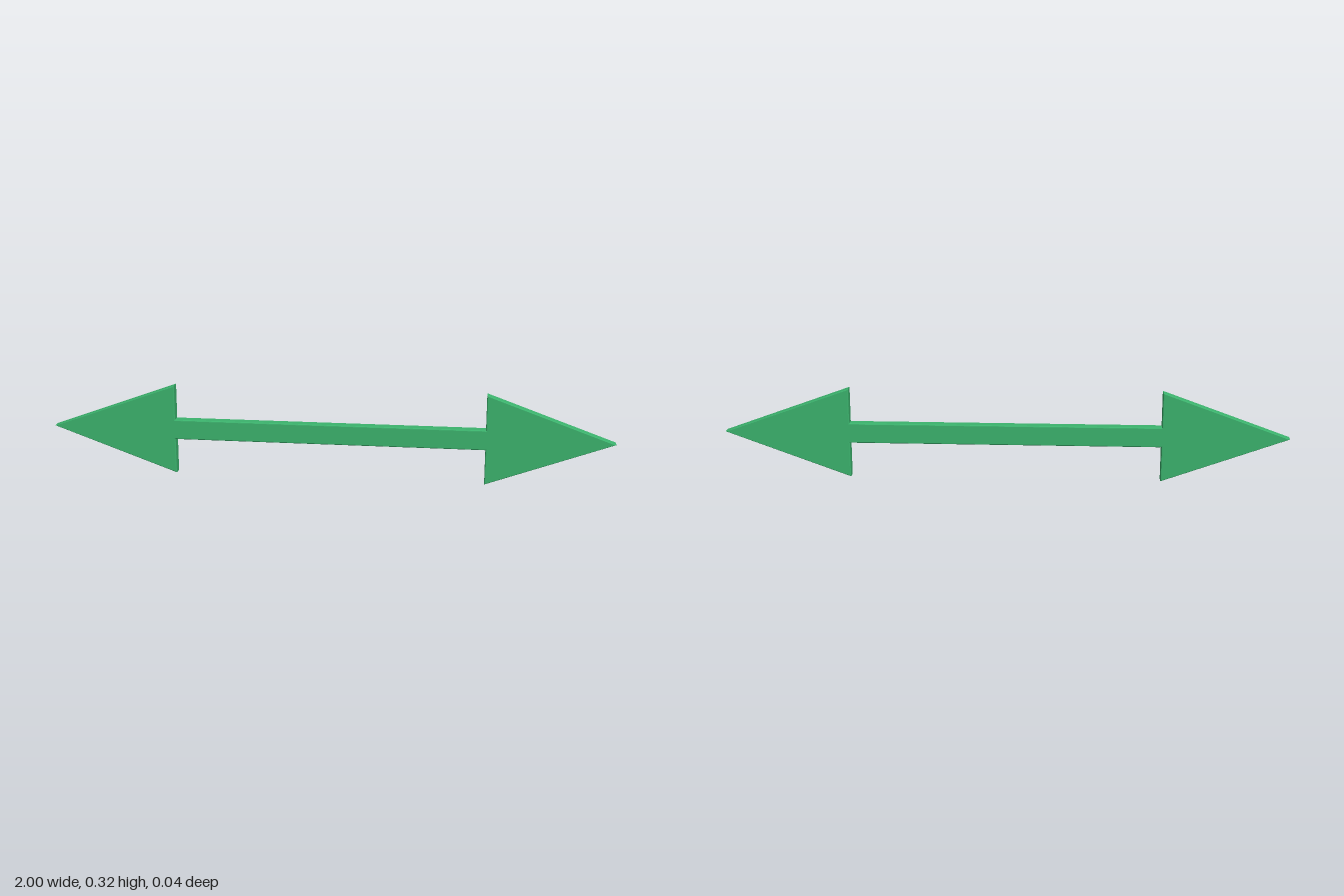
import * as THREE from 'three';

const HEIGHT = 0.324, MID = HEIGHT / 2, DEPTH = 0.038, BEVEL = 0.004;

export function createModel() {
  const group = new THREE.Group();
  group.name = 'doubleArrow';

  // right half of the outline, bottom to top, then turned half round for the other
  const half = [[0.553, -0.036], [0.553, -MID], [1, 0], [0.553, MID], [0.553, 0.036]];
  const outline = [...half, ...half.map(([x, y]) => [-x, -y])]
    .map(([x, y]) => new THREE.Vector2(x, y + MID));

  // flat plate with softened rims, bevelled inward so the outline keeps its size
  const geometry = new THREE.ExtrudeGeometry(new THREE.Shape(outline), {
    depth: DEPTH - 2 * BEVEL,
    bevelEnabled: true,
    bevelThickness: BEVEL,
    bevelSize: BEVEL,
    bevelOffset: -BEVEL,
    bevelSegments: 3,
  });
  geometry.translate(0, 0, BEVEL - DEPTH / 2);

  const arrow = new THREE.Mesh(geometry, new THREE.MeshStandardMaterial({ color: 0x3cb46e }));
  arrow.name = 'arrowPlate';
  group.add(arrow);
  return group;
}
